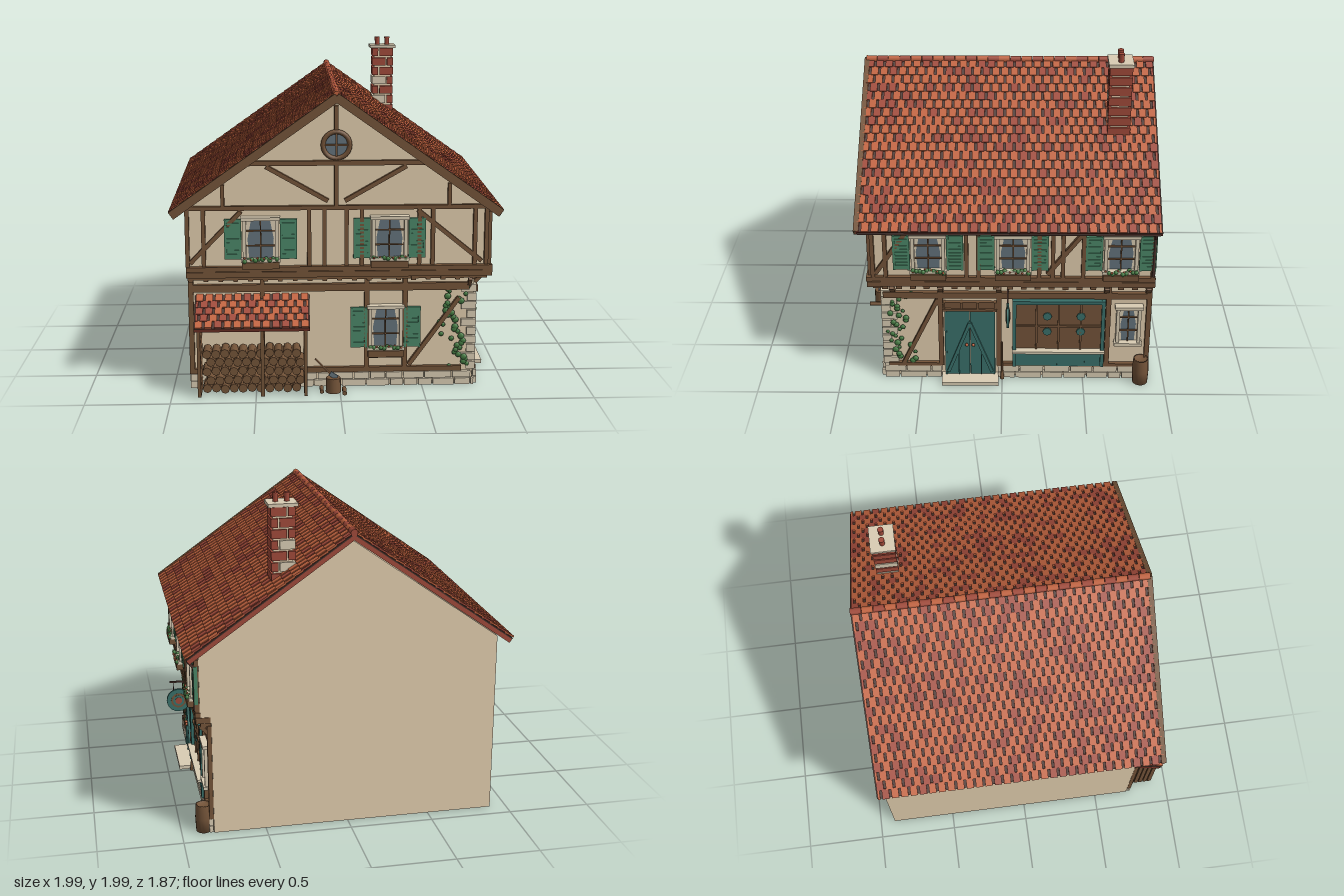
import * as THREE from 'three';
import { mergeGeometries } from 'three/addons/utils/BufferGeometryUtils.js';

const mat = (name, color, side = THREE.FrontSide) => Object.assign(new THREE.MeshStandardMaterial({ color, side }), { name });
const M = {
  plaster: mat('plaster', 0xe2ceae, THREE.DoubleSide), timber: mat('timber', 0x745439), tile: mat('clayTile', 0xc1633f),
  brick: mat('darkClay', 0xa04a3a), stone: mat('stone', 0xdacdb4, THREE.DoubleSide), shutter: mat('shutterGreen', 0x4b8768),
  teal: mat('tealPaint', 0x39706a), glass: mat('glass', 0x64737c), leaf: mat('leaf', 0x477d44), dark: mat('darkIron', 0x4a332c),
};
let seed = 7;
const rnd = () => (seed = (seed * 16807) % 2147483647) / 2147483647;

const box = (w, h, d, x, y, z, rz = 0) => new THREE.BoxGeometry(w, h, d).rotateZ(rz).translate(x, y, z);
const beam = (x1, y1, x2, y2, w = 0.025, d = 0.025) =>
  box(Math.hypot(x2 - x1, y2 - y1), w, d, (x1 + x2) / 2, (y1 + y2) / 2, d / 2 + 0.001, Math.atan2(y2 - y1, x2 - x1));
const cyl = (r, h, x, y, z, n = 12, r2 = r) => new THREE.CylinderGeometry(r2, r, h, n).translate(x, y, z);
const disc = (r, d, x, y, z, n = 16) => new THREE.CylinderGeometry(r, r, d, n).rotateX(Math.PI / 2).translate(x, y, z);
const ball = (r, x, y, z) => new THREE.SphereGeometry(r, 6, 4).translate(x, y, z);
const shape = (...p) => new THREE.ShapeGeometry(new THREE.Shape(p.map(([x, y]) => new THREE.Vector2(x, y))));
function mesh(parent, name, material, ...geos) {
  const m = new THREE.Mesh(mergeGeometries(geos.flat()), material);
  m.name = name;
  parent.add(m);
  return m;
}
function group(parent, name, x = 0, y = 0, z = 0, ry = 0) {
  const g = new THREE.Group();
  g.name = name;
  g.position.set(x, y, z);
  g.rotation.y = ry;
  if (parent) parent.add(g);
  return g;
}

// Window with frame, glazing bars and curtains, optional shutters and flower box
function windowUnit(parent, u, y, w, h, shutters = true, flowers = true) {
  const g = group(parent, 'window', u, y, 0), s = [-1, 1], b = 0.02;
  mesh(g, 'windowFrame', M.stone, s.map(k => box(b, h, 0.04, k * (w - b) / 2, 0, 0.021)), s.map(k => box(w + 0.02, b, 0.05, 0, k * (h - b) / 2, 0.026)));
  mesh(g, 'glass', M.glass, box(w - b, h - b, 0.02, 0, 0, 0));
  mesh(g, 'glazingBars', M.timber, box(0.008, h - b, 0.012, 0, 0, 0.014), [-0.15, 0.18].map(k => box(w - b, 0.008, 0.012, 0, k * h, 0.014)));
  const e = w / 2 - b;
  mesh(g, 'curtains', M.stone, s.map(k => shape([k * e, h / 2 - 0.02], [k * (e - 0.03), h / 2 - 0.02], [k * (e - 0.008), 0], [k * (e - 0.016), -h / 2 + 0.02], [k * e, -h / 2 + 0.02]).translate(0, 0, 0.012)));
  if (shutters) for (const k of s) {
    const x = k * (w / 2 + 0.058);
    mesh(g, 'shutter', M.shutter, box(0.1, h - 0.03, 0.016, x, 0, 0.016), s.map(j => box(0.014, h - 0.03, 0.014, x + j * 0.043, 0, 0.023)),
      Array.from({ length: 9 }, (_, i) => box(0.08, 0.01, 0.006, x, (i - 4) * (h - 0.06) / 9, 0.025)));
  }
  if (flowers) {
    mesh(g, 'flowerBox', M.timber, box(w + 0.01, 0.04, 0.05, 0, -h / 2 - 0.018, 0.035));
    const at = (r, n) => Array.from({ length: n }, (_, i) => ball(r, (i / (n - 1) - 0.5) * w * 0.9, -h / 2 + 0.008 + rnd() * 0.014, 0.03 + rnd() * 0.03));
    mesh(g, 'plants', M.leaf, at(0.014, 10));
    mesh(g, 'flowers', M.tile, at(0.007, 6).map(q => q.translate(0, 0.008, 0.008)));
  }
}

// Two staggered courses of plinth stones along a facade
function plinth(parent, u0, u1) {
  const stones = [];
  for (const row of [0, 1]) for (let u = u0; u < u1 - 0.02;) {
    const w = Math.min(0.08 + rnd() * 0.09, u1 - u);
    stones.push(box(w - 0.008, 0.04, 0.022 + rnd() * 0.006, u + w / 2, 0.022 + row * 0.045, 0.015));
    u += w;
  }
  mesh(parent, 'plinthStones', M.stone, stones);
}

// Sloping tiled roof: runs down local +x, spans local z
function tiledRoof(parent, name, x, y, z, ry, len, width, angle, rows, cols) {
  const slope = group(group(parent, name, x, y, z, ry), 'slope');
  slope.rotation.z = -angle;
  mesh(slope, 'roofDeck', M.brick, box(len, 0.026, width, len / 2, -0.017, 0));
  mesh(slope, 'roofFelt', M.dark, box(len, 0.008, width, len / 2, 0, 0));
  const lists = [[], []], dl = len / rows, dw = width / cols;
  for (let r = 0; r < rows; r++) for (let c = 0; c <= cols; c++) {
    const a = Math.max(0, c - (r % 2) / 2), b = Math.min(cols, c + 1 - (r % 2) / 2);
    if (b - a < 0.1) continue;
    lists[rnd() < 0.72 ? 0 : 1].push(box(dl * 1.1, 0.01, (b - a) * dw - 0.014, (r + 0.5) * dl, 0.011, ((a + b) / 2) * dw - width / 2, 0.07));
  }
  mesh(slope, 'roofTiles', M.tile, lists[0]);
  mesh(slope, 'darkRoofTiles', M.brick, lists[1]);
  return slope;
}

function ivy(parent, u, n) {
  mesh(parent, 'ivy', M.leaf, Array.from({ length: n }, (_, i) => {
    const y = 0.1 + 0.53 * i / n;
    return new THREE.SphereGeometry(0.012 + rnd() * 0.01, 6, 4).scale(1, 1, 0.6).translate(u + (rnd() - 0.5) * 0.13 + 0.03 * Math.sin(y * 12), y, 0.014);
  }));
}

export function createModel() {
  const house = group(null, 'timberHouse');

  // Open wall shells, the upper storey jutting out at the front and right
  const lower = new THREE.BoxGeometry(1.71, 0.74, 1.625).translate(-0.045, 0.37, -0.0925);
  const idx = Array.from(lower.index.array);
  lower.setIndex([...idx.slice(0, 12), ...idx.slice(24)]);
  mesh(house, 'lowerWalls', M.plaster, lower);
  const gable = () => shape([-0.9, 0.7], [0.875, 0.7], [0.875, 1.105], [-0.02, 1.74], [-0.9, 1.115]);
  mesh(house, 'upperWalls', M.plaster, gable().translate(0, 0, 0.77), gable().rotateY(Math.PI).scale(-1, 1, 1).translate(0, 0, -0.905).toNonIndexed().setIndex([2, 1, 0, 5, 4, 3, 8, 7, 6]),
    new THREE.PlaneGeometry(1.675, 0.405).rotateY(Math.PI / 2).translate(0.875, 0.9025, -0.0675),
    new THREE.PlaneGeometry(1.675, 0.415).rotateY(-Math.PI / 2).translate(-0.9, 0.9075, -0.0675));

  const lowFront = group(house, 'lowerFront', 0, 0, 0.72), upFront = group(house, 'upperFront', 0, 0, 0.77);
  const lowSide = group(house, 'lowerSide', 0.81, 0, 0, Math.PI / 2), upSide = group(house, 'upperSide', 0.875, 0, 0, Math.PI / 2);

  // Upper front framing and gable truss
  mesh(upFront, 'frontFraming', M.timber,
    box(1.81, 0.035, 0.08, 0, 0.72, -0.008), box(1.81, 0.028, 0.035, 0, 0.755, 0.019), box(1.78, 0.022, 0.05, -0.01, 0.692, -0.023), beam(-0.91, 1.12, 0.89, 1.12),
    [-0.895, -0.8, -0.18, -0.09, 0.04, 0.13, 0.47, 0.55, 0.8, 0.868].map(x => beam(x, 0.77, x, 1.11, 0.024)),
    beam(-0.88, 0.79, -0.58, 1.1), beam(0.46, 1.1, 0.84, 0.79), beam(-0.54, 1.385, 0.5, 1.385, 0.028),
    beam(-0.02, 1.13, -0.02, 1.375), beam(-0.02, 1.58, -0.02, 1.72),
    [-1, 1].flatMap(k => [beam(-0.02 + k * 0.41, 1.365, -0.02 + k * 0.05, 1.16), beam(-0.02 + k * 0.665, 1.13, -0.02 + k * 0.665, 1.26, 0.022)]));
  windowUnit(upFront, -0.465, 0.935, 0.21, 0.27);
  windowUnit(upFront, 0.293, 0.935, 0.21, 0.27);
  const round = group(upFront, 'roundWindow', -0.02, 1.49, 0);
  mesh(round, 'roundFrame', M.timber, new THREE.TorusGeometry(0.078, 0.014, 6, 24).translate(0, 0, 0.015), box(0.01, 0.15, 0.012, 0, 0, 0.015), box(0.15, 0.01, 0.012, 0, 0, 0.015));
  mesh(round, 'roundGlass', M.glass, disc(0.078, 0.02, 0, 0, 0, 24));

  // Upper right framing
  mesh(upSide, 'sideFraming', M.timber,
    box(1.7, 0.035, 0.085, 0.06, 0.72, -0.018), box(1.7, 0.028, 0.03, 0.06, 0.755, 0.012), box(1.66, 0.022, 0.05, 0.07, 0.692, -0.036), beam(-0.78, 1.075, 0.905, 1.075),
    [-0.765, -0.69, -0.21, -0.14, 0.22, 0.3, 0.36, 0.48, 0.893].map(u => beam(u, 0.77, u, 1.09, 0.024)),
    beam(-0.75, 0.79, -0.57, 1.06), beam(0.27, 0.79, 0.47, 1.06));
  for (const u of [-0.435, 0.065, 0.7]) windowUnit(upSide, u, 0.935, 0.2, 0.26);

  // Joist ends and corner brackets below the jetty
  mesh(house, 'joists', M.timber,
    Array.from({ length: 20 }, (_, i) => box(0.06, 0.03, 0.035, 0.842, 0.684, 0.7 - i * 0.083)),
    Array.from({ length: 20 }, (_, i) => box(0.028, 0.024, 0.055, -0.88 + i * 0.088, 0.685, 0.749)),
    [0.66, 0.37, 0.02, -0.63, -0.88].map(z => box(0.08, 0.022, 0.03, 0.845, 0.65, z, 0.8)),
    box(0.022, 0.022, 0.08, 0, 0, 0).rotateX(-0.8).translate(0.78, 0.65, 0.752));

  // Lower front framing, window, plinth
  mesh(lowFront, 'lowerFrontFraming', M.timber, beam(-0.9, 0.622, 0.78, 0.622, 0.045), beam(-0.9, 0.105, 0.74, 0.105, 0.03),
    beam(-0.885, 0.09, -0.885, 0.7, 0.03), beam(-0.46, 0.12, -0.46, 0.68, 0.025), beam(0.165, 0.12, 0.165, 0.68, 0.03),
    beam(0.395, 0.12, 0.395, 0.68, 0.03), beam(0.17, 0.19, 0.39, 0.19, 0.025), beam(0.42, 0.13, 0.72, 0.55));
  windowUnit(lowFront, 0.278, 0.37, 0.205, 0.28);
  plinth(lowFront, -0.9, 0.82);
  ivy(lowFront, 0.69, 36);

  // Lower right framing, with the small rear window
  mesh(lowSide, 'lowerSideFraming', M.timber, beam(-0.72, 0.6, 0.9, 0.6, 0.04), [-0.375, -0.02, 0.645, 0.89].map(u => beam(u, 0.09, u, 0.68, 0.03)),
    beam(-0.61, 0.1, -0.39, 0.57), beam(-0.7, 0.095, -0.37, 0.095), beam(-0.03, 0.095, 0.9, 0.095));
  windowUnit(lowSide, 0.77, 0.395, 0.15, 0.28, false, false);
  plinth(lowSide, -0.73, -0.37);
  plinth(lowSide, -0.03, 0.905);
  ivy(lowSide, -0.62, 32);

  // Double door with transom and stone step
  const door = group(lowSide, 'door', -0.197, 0, 0.009);
  mesh(door, 'doorLeaves', M.teal, [-1, 1].flatMap(k => [box(0.152, 0.465, 0.025, k * 0.078, 0.26, 0.005), beam(0, 0.41, k * 0.135, 0.05, 0.02, 0.03),
    box(0.012, 0.465, 0.03, k * 0.148, 0.26, 0.008), beam(k * 0.07, 0.03, k * 0.07, 0.21, 0.006, 0.025)]));
  mesh(door, 'doorHandles', M.tile, [-1, 1].map(k => ball(0.011, k * 0.02, 0.255, 0.035)));
  mesh(door, 'transom', M.timber, box(0.32, 0.05, 0.02, 0, 0.525, 0.003), [-0.155, -0.05, 0.05, 0.155].map(x => box(0.014, 0.055, 0.03, x, 0.525, 0.008)), box(0.33, 0.015, 0.035, 0, 0.5, 0.01));
  mesh(door, 'doorStep', M.stone, box(0.35, 0.024, 0.11, 0, 0.012, 0.05));

  // Shop front with boarded panes
  const shop = group(lowSide, 'shopFront', 0.345, 0, 0.009);
  mesh(shop, 'shopFrame', M.teal, [-1, 1].map(k => box(0.022, 0.48, 0.04, k * 0.27, 0.335, 0.012)), box(0.56, 0.022, 0.045, 0, 0.562, 0.015),
    box(0.53, 0.11, 0.025, 0, 0.145, 0.005), [-0.17, 0, 0.17].map(x => box(0.012, 0.1, 0.03, x, 0.145, 0.008)));
  mesh(shop, 'shopBoards', M.timber, box(0.53, 0.35, 0.02, 0, 0.385, 0.003), [-0.135, 0, 0.135].map(x => box(0.012, 0.34, 0.03, x, 0.385, 0.007)), box(0.53, 0.012, 0.03, 0, 0.385, 0.007));
  mesh(shop, 'shopLights', M.teal, [-0.07, 0.135].flatMap(x => [0.345, 0.455].map(y => disc(0.027, 0.008, x, y, 0.018, 8))));
  mesh(shop, 'shopSill', M.stone, box(0.57, 0.016, 0.06, 0, 0.21, 0.025));

  // Corner quoins
  mesh(house, 'quoins', M.stone, Array.from({ length: 10 }, (_, i) => {
    const w = i % 2 ? 0.09 : 0.055, d = i % 2 ? 0.055 : 0.095;
    return box(w, 0.046, d, 0.825 - w / 2, 0.12 + i * 0.054, 0.735 - d / 2);
  }));

  // Main roof, gable boards, ridge caps, gutter and downpipe
  const angle = 0.617, len = 1.183;
  for (const ry of [0, Math.PI]) {
    const s = tiledRoof(house, 'mainRoof', -0.02, 1.783, -0.04, ry, len, 1.78, angle, 20, 31);
    mesh(s, 'gableBoard', M.timber, box(len, 0.05, 0.03, len / 2, -0.007, ry ? -0.885 : 0.885));
  }
  const caps = k => Array.from({ length: 13 }, (_, i) => disc(0.022, 0.066, -0.02, 1.79, 0.815 - (2 * i + k) * 0.0685, 8));
  mesh(house, 'ridgeCaps', M.tile, caps(0));
  mesh(house, 'darkRidgeCaps', M.brick, caps(1));
  mesh(house, 'gutter', M.dark, disc(0.012, 1.76, 0.93, 1.085, -0.04, 8), cyl(0.009, 0.28, 0.9, 0.92, -0.895, 8), box(0.06, 0.016, 0.016, 0.915, 1.06, -0.895, 0.9));

  // Brick chimney with cap and two pots
  const stack = group(house, 'chimney', 0.355, 0, -0.695), bricks = [[], []];
  for (let i = 0; i < 8; i++) {
    const y = 1.89 - i * 0.0645, cut = i % 2 ? 0.025 : -0.025;
    [[-0.076, cut], [cut, 0.076]].forEach(([a, b], k) =>
      bricks[k === 0 && (i === 3 || i === 5) ? 1 : 0].push(box(b - a - 0.01, 0.052, 0.136, (a + b) / 2, y, 0)));
  }
  mesh(stack, 'mortar', M.plaster, box(0.115, 0.5, 0.105, 0, 1.67, 0));
  mesh(stack, 'bricks', M.brick, bricks[0]);
  mesh(stack, 'paleBricks', M.stone, bricks[1]);
  mesh(stack, 'chimneyCap', M.stone, box(0.172, 0.02, 0.148, 0, 1.928, 0));
  mesh(stack, 'chimneyPots', M.brick, [-1, 1].map(k => cyl(0.016, 0.055, k * 0.033, 1.963, 0, 10, 0.018)));

  // Lean-to woodshed with stacked logs
  const shed = group(house, 'woodshed');
  tiledRoof(shed, 'shedRoof', -0.52, 0.572, 0.722, -Math.PI / 2, 0.25, 0.68, 0.6, 5, 12);
  const planks = [];
  for (const x of [-0.835, -0.205]) for (let i = 0; i < 6; i++) {
    const z = 0.737 + i * 0.031, h = 0.53 - 0.68 * (z - 0.71);
    planks.push(box(0.02, h, 0.026, x, h / 2, z));
  }
  mesh(shed, 'shedFrame', M.timber, planks, box(0.022, 0.41, 0.022, -0.46, 0.205, 0.89), box(0.67, 0.025, 0.025, -0.52, 0.418, 0.892));
  mesh(shed, 'logs', M.timber, [0.042, 0.093, 0.15, 0.203, 0.257].flatMap((y, row) => Array.from({ length: 11 }, (_, i) =>
    disc(0.027, 0.12, -0.79 + i * 0.053 + (row % 2) * 0.022, y, 0.8 + rnd() * 0.025, 8))));

  // Chopping block with axe and split logs
  const block = group(house, 'choppingBlock', -0.04, 0, 0.835);
  mesh(block, 'stump', M.timber, cyl(0.046, 0.09, 0, 0.045, 0, 12, 0.043), new THREE.CylinderGeometry(0.006, 0.006, 0.14, 6).rotateZ(0.75).translate(-0.06, 0.16, 0.01),
    disc(0.014, 0.09, 0.065, 0.015, 0.03, 6), disc(0.013, 0.08, -0.07, 0.014, 0, 6));
  mesh(block, 'axeHead', M.glass, box(0.05, 0.028, 0.012, 0, 0.105, 0.01, -0.6));

  // Rain barrel
  mesh(house, 'barrel', M.timber, new THREE.LatheGeometry([[0, 0], [0.047, 0], [0.051, 0.085], [0.047, 0.17], [0.04, 0.17], [0.04, 0.155], [0, 0.155]].map(p => new THREE.Vector2(...p)), 14).translate(0.865, 0, -0.855));

  // Hanging round sign on an iron bracket
  const sign = group(house, 'hangingSign', 0.92, 0.515, -0.035);
  mesh(sign, 'signBoard', M.teal, disc(0.075, 0.016, 0, 0, 0, 20), disc(0.036, 0.026, 0, 0, 0));
  mesh(sign, 'signRing', M.timber, disc(0.048, 0.021, 0, 0, 0, 20));
  mesh(sign, 'signCentre', M.brick, disc(0.022, 0.03, 0, 0, 0, 12));
  mesh(sign, 'bracket', M.dark, box(0.165, 0.01, 0.01, -0.03, 0.125, 0), [-0.03, 0.03].map(x => box(0.005, 0.06, 0.005, x, 0.095, 0)),
    new THREE.TorusGeometry(0.022, 0.005, 5, 12).translate(-0.08, 0.08, 0), box(0.1, 0.008, 0.008, -0.07, 0.09, 0, 0.7));

  // Broom leaning by the door
  mesh(house, 'broom', M.timber, cyl(0.006, 0.24, 0.845, 0.15, 0, 6), cyl(0.013, 0.06, 0.845, 0.03, 0, 8, 0.008));
  return house;
}
